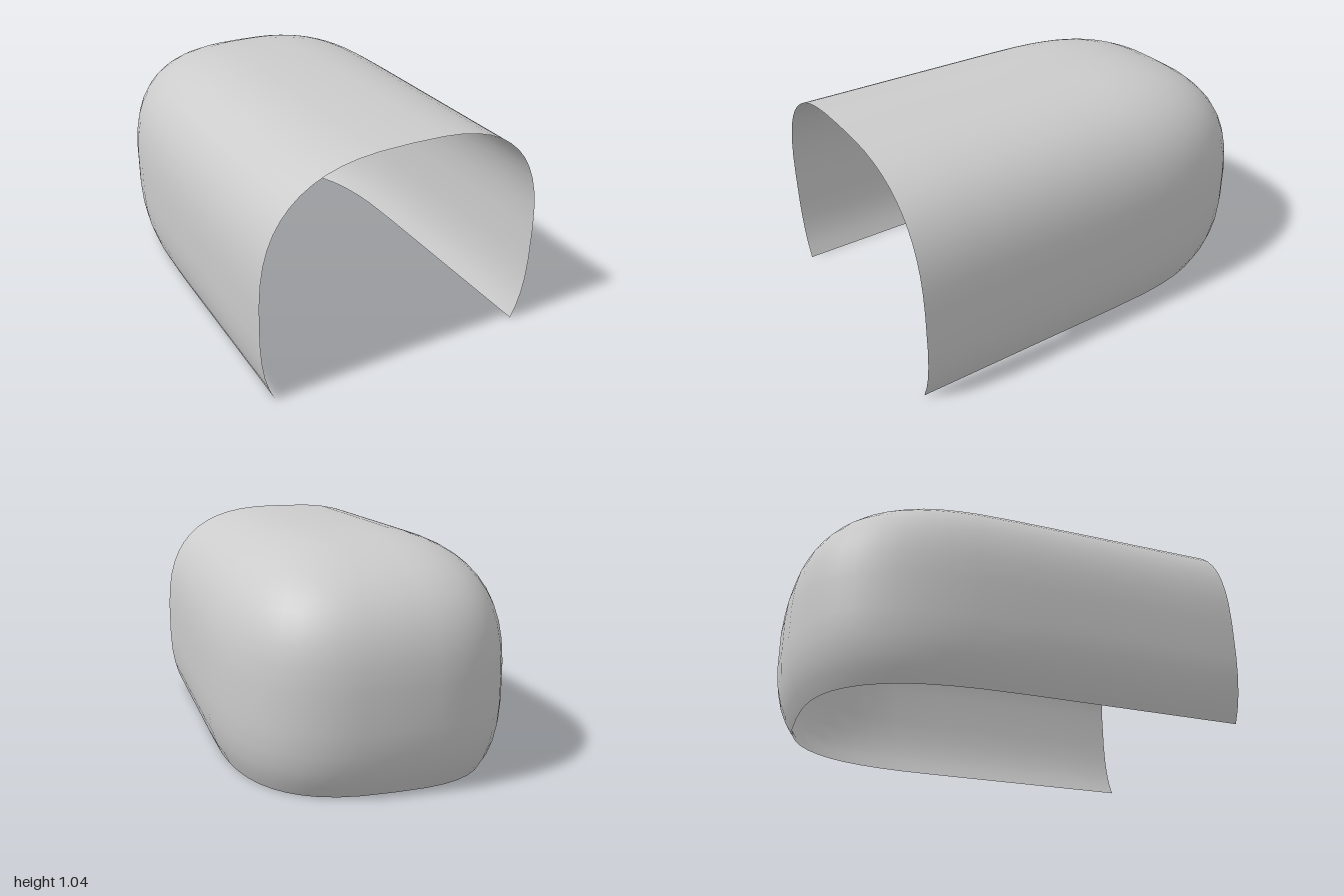
import * as THREE from 'three';
import { mergeVertices } from 'three/addons/utils/BufferGeometryUtils.js';

const N = 2.85;                        // roundness of the superellipse
const HALF_W = 0.69, HALF_H = 0.645, MID_Y = 0.4;
const ARC_Z = -0.03, ARC_D = 0.97, FRONT_Z = 1;
const ARC = 24, STRAIGHT = 4, ROWS = 18;

// signed power that turns a circle into a superellipse
const bulge = (v) => Math.sign(v) * Math.pow(Math.abs(v), 2 / N);

// Thin canopy: U-shaped rings, open at the front and the bottom
function canopyGeometry() {
  const cols = ARC + 2 * STRAIGHT;
  const geo = new THREE.PlaneGeometry(1, 1, cols, ROWS);
  const pos = geo.attributes.position;
  const start = -Math.asin(Math.pow(MID_Y / HALF_H, N / 2));

  for (let i = 0; i < pos.count; i++) {
    const col = i % (cols + 1);
    const row = ROWS - Math.floor(i / (cols + 1));
    const pitch = THREE.MathUtils.lerp(start, Math.PI / 2, row / ROWS);
    const y = MID_Y + HALF_H * bulge(Math.sin(pitch));
    const k = row === ROWS ? 0 : bulge(Math.cos(pitch));

    // straight side, rounded back, straight side
    const step = THREE.MathUtils.clamp(col - STRAIGHT, 0, ARC);
    const a = (step / ARC) * Math.PI;
    const c = step === ARC / 2 ? 0 : Math.cos(a);
    const s = step === 0 || step === ARC ? 0 : Math.sin(a);
    const forward = Math.max(STRAIGHT - col, col - STRAIGHT - ARC, 0) / STRAIGHT;
    let x = HALF_W * k * bulge(c);
    const z = ARC_Z - ARC_D * k * bulge(s) + (FRONT_Z - ARC_Z) * forward;

    // the right wall draws in slightly toward the front
    if (x < 0) x *= 1 - 0.015 * Math.max(z, 0);
    pos.setXYZ(i, x, y, z);
  }

  // weld the ridge so the shading is continuous
  geo.deleteAttribute('uv');
  geo.deleteAttribute('normal');
  const welded = mergeVertices(geo, 1e-4);
  welded.computeVertexNormals();
  return welded;
}

export function createModel() {
  const model = new THREE.Group();
  model.name = 'roundedCanopy';
  const material = new THREE.MeshStandardMaterial({ color: 0xcccccc, side: THREE.DoubleSide });
  const canopy = new THREE.Mesh(canopyGeometry(), material);
  canopy.name = 'canopyShell';
  model.add(canopy);
  return model;
}
